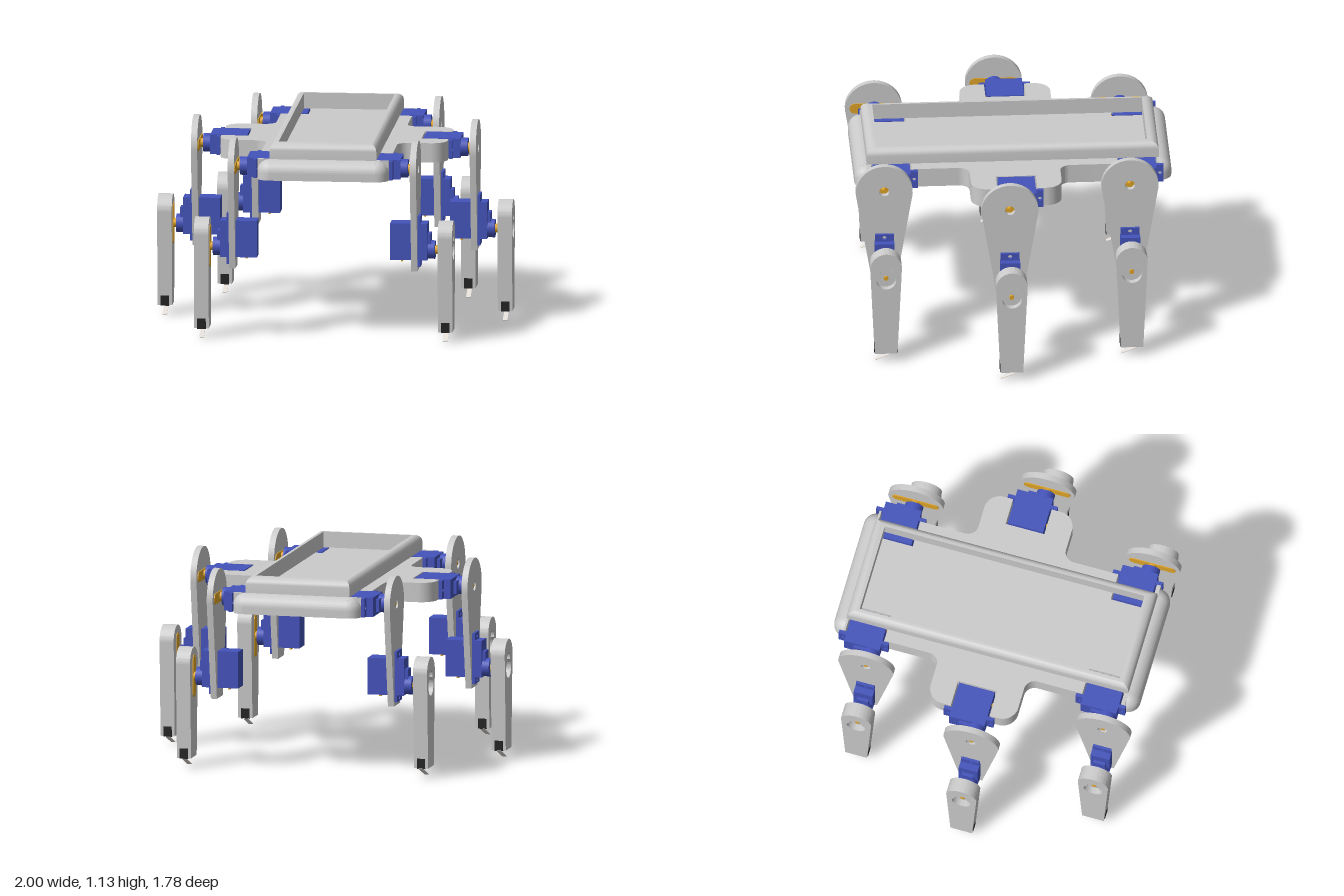
import * as THREE from 'three';
import { toCreasedNormals } from 'three/addons/utils/BufferGeometryUtils.js';

const PI = Math.PI;
const mat = (color) => new THREE.MeshStandardMaterial({ color });
const grey = mat(0xcccccc), blue = mat(0x4453bb), gold = mat(0xe0a528), black = mat(0x222222), pale = mat(0xe4ded8);

function add(parent, name, geometry, material) {
  const m = new THREE.Mesh(geometry, material);
  m.name = name;
  parent.add(m);
  return m;
}

// Box given by its limits
function box(x0, x1, y0, y1, z0, z1) {
  return new THREE.BoxGeometry(Math.abs(x1 - x0), y1 - y0, z1 - z0)
    .translate((x0 + x1) / 2, (y0 + y1) / 2, (z0 + z1) / 2);
}

// Shape drawn in (z, y), extruded between two x positions
function slab(shape, xa, xb) {
  const g = new THREE.ExtrudeGeometry(shape, { depth: Math.abs(xb - xa), bevelEnabled: false, curveSegments: 20 });
  g.rotateY(-PI / 2).translate(Math.max(xa, xb), 0, 0);
  return toCreasedNormals(g, 0.5);
}

// Cylinder along x
function rod(r, xa, xb) {
  return new THREE.CylinderGeometry(r, r, Math.abs(xb - xa), 24).rotateZ(PI / 2).translate((xa + xb) / 2, 0, 0);
}

// Tapered limb outline: round top, flat bottom
function limbShape(r, cy, bottom, half) {
  const s = new THREE.Shape();
  s.moveTo(-half, bottom);
  s.lineTo(half, bottom);
  s.absarc(0, cy, r, -0.12, PI + 0.12, false);
  s.closePath();
  return s;
}

function circleHole(shape, x, y, r) {
  shape.holes.push(new THREE.Path().absarc(x, y, r, 0, 2 * PI, true));
}

// Long horn with round ends, drawn along z
function hornShape(half, r) {
  const s = new THREE.Shape();
  s.absarc(half - r, 0, r, -PI / 2, PI / 2, false);
  s.absarc(-half + r, 0, r, PI / 2, 1.5 * PI, false);
  return s;
}

// Servo with its shaft on the local x axis, shaft end at x = 0, body reaching to -z
function servo(name, s) {
  const g = new THREE.Group();
  g.name = name;
  add(g, 'servoBody', box(-0.272 * s, -0.063 * s, -0.055, 0.055, -0.155, 0.053), blue);
  const f = new THREE.Shape();
  f.moveTo(-0.197, -0.053);
  f.lineTo(0.092, -0.053);
  f.lineTo(0.092, 0.053);
  f.lineTo(-0.197, 0.053);
  f.closePath();
  for (const z of [-0.176, 0.073]) circleHole(f, z, 0, 0.012);
  add(g, 'servoFlange', slab(f, -0.122 * s, -0.102 * s), blue);
  add(g, 'gearHousing', rod(0.052, -0.065 * s, -0.022 * s), blue);
  add(g, 'gearHousingStep', box(-0.065 * s, -0.045 * s, -0.035, 0.035, -0.095, 0), blue);
  add(g, 'shaft', rod(0.025, -0.025 * s, 0.004 * s), gold);
  add(g, 'wireStub', box(-0.215 * s, -0.205 * s, -0.02, 0.02, 0.05, 0.067), gold);
  return g;
}

function leg(s, inner, z) {
  const g = new THREE.Group();
  g.name = 'leg';
  const X = (x) => s * (x + inner);
  // Hip
  const hip = servo('hipServo', s);
  hip.position.set(X(0.495), 0.975, 0);
  g.add(hip);
  add(hip, 'hipHorn', slab(hornShape(0.135, 0.03), -0.005 * s, 0.004 * s), gold);
  add(hip, 'hipScrew', rod(0.013, 0, 0.03 * s), gold);
  // Thigh
  const thigh = limbShape(0.16, 0.972, 0.4, 0.066);
  circleHole(thigh, 0, 0.975, 0.028);
  add(g, 'thigh', slab(thigh, X(0.495), X(0.53)), grey);
  // Knee
  const knee = servo('kneeServo', s);
  knee.position.set(X(0.647), 0.515, 0);
  knee.rotation.x = PI / 2;
  g.add(knee);
  add(knee, 'kneeHorn', slab(hornShape(0.12, 0.028), -0.006 * s, 0.004 * s), gold);
  add(knee, 'kneeScrew', rod(0.013, 0, 0.055 * s), gold);
  // Shin: solid inner half, outer half with a keyhole pocket
  add(g, 'shinInner', slab(limbShape(0.088, 0.592, 0.055, 0.063), X(0.645), X(0.69)), grey);
  const outer = limbShape(0.088, 0.592, 0.055, 0.063);
  const key = new THREE.Path();
  key.absarc(0, 0.515, 0.055, PI / 2 + 0.648, 2.5 * PI - 0.648, false);
  key.absarc(0, 0.57, 0.035, -0.323, PI + 0.323, false);
  outer.holes.push(key);
  add(g, 'shinOuter', slab(outer, X(0.69), X(0.727)), grey);
  // Foot contact switch and its lever
  add(g, 'footSwitch', box(X(0.662), X(0.71), 0.052, 0.11, -0.066, 0.066), black);
  const lever = add(g, 'footLever', new THREE.BoxGeometry(0.026, 0.003, 0.138), pale);
  lever.position.set(X(0.686), 0.028, -0.002);
  lever.rotation.x = 0.39;
  g.position.z = z;
  return g;
}

// Deck outline with servo notches and side wings, drawn in (x, z)
function deckGeometry() {
  const p = new THREE.Path();
  const notch = (x0, x1, z) => {
    for (const [x, dz] of [[x1, -0.163], [x0, -0.163], [x0, 0.062], [x1, 0.062]]) p.lineTo(x, z + dz);
  };
  p.moveTo(0.37, -0.82);
  notch(0.215, 0.37, -0.645);
  p.absarc(0.43, -0.32, 0.06, PI, PI / 2, true);
  p.absarc(0.55, -0.17, 0.09, -PI / 2, 0, false);
  notch(0.487, 0.64, 0.045);
  p.absarc(0.55, 0.16, 0.09, 0, PI / 2, false);
  p.absarc(0.43, 0.31, 0.06, -PI / 2, -PI, true);
  notch(0.215, 0.37, 0.735);
  p.lineTo(0.37, 0.82);
  const right = p.getPoints(10);
  const left = right.map((v) => new THREE.Vector2(-v.x, v.y)).reverse();
  const g = new THREE.ExtrudeGeometry(new THREE.Shape([...right, ...left]), { depth: 0.11, bevelEnabled: false });
  return toCreasedNormals(g.rotateX(PI / 2).translate(0, 1.03, 0), 0.5);
}

// Rectangular rim: a wall profile (inset, height) carried round four corners
function rimGeometry() {
  const prof = [[0, 1.02]];
  for (let i = 0; i <= 8; i++) {
    const a = (i / 8) * PI / 2;
    prof.push([0.04 * (1 - Math.cos(a)), 1.08 + 0.04 * Math.sin(a)]);
  }
  prof.push([0.045, 1.12], [0.045, 1.02]);
  const corners = [[1, 1], [1, -1], [-1, -1], [-1, 1]];
  const at = (c, [d, y]) => [c[0] * (0.3 - d), y, c[1] * (0.82 - d * 1.4)];
  const pos = [];
  for (let k = 0; k < 4; k++) {
    const c = corners[k], n = corners[(k + 1) % 4];
    for (let i = 0; i < prof.length - 1; i++) {
      const a = at(c, prof[i]), b = at(n, prof[i]), e = at(n, prof[i + 1]), f = at(c, prof[i + 1]);
      pos.push(...a, ...b, ...e, ...a, ...e, ...f);
    }
  }
  const g = new THREE.BufferGeometry();
  g.setAttribute('position', new THREE.Float32BufferAttribute(pos, 3));
  return toCreasedNormals(g, 0.5);
}

export function createModel() {
  const root = new THREE.Group();
  root.name = 'sixLeggedRobot';

  // Body deck and tray rim
  const body = new THREE.Group();
  body.name = 'body';
  root.add(body);
  add(body, 'deck', deckGeometry(), grey);
  add(body, 'trayRim', rimGeometry(), grey);

  // Rounded deck ends with domed corners
  const end = new THREE.Shape();
  end.moveTo(0.82, 0.92);
  end.lineTo(0.89, 0.92);
  end.absarc(0.82, 0.96, 0.07, 0, PI / 2, false);
  end.closePath();
  const dome = [new THREE.Vector2(0, 0.92), new THREE.Vector2(0.07, 0.92)];
  for (let i = 0; i <= 8; i++) {
    const a = (i / 8) * PI / 2;
    dome.push(new THREE.Vector2(0.07 * Math.cos(a), 0.96 + 0.07 * Math.sin(a)));
  }
  for (const turn of [0, PI]) {
    add(body, 'deckEnd', slab(end, -0.3, 0.3), grey).rotation.y = turn;
    for (const s of [1, -1]) {
      const g = new THREE.LatheGeometry(dome, 8, s > 0 ? 0 : -PI / 2, PI / 2).translate(s * 0.3, 0, 0.82);
      add(body, 'deckCorner', toCreasedNormals(g, 0.5), grey).rotation.y = turn;
    }
  }

  // Legs: the middle pair sits further out
  for (const s of [1, -1]) {
    for (const [inner, z] of [[0, 0.735], [0.272, 0.045], [0, -0.645]]) root.add(leg(s, inner, z));
  }
  return root;
}
